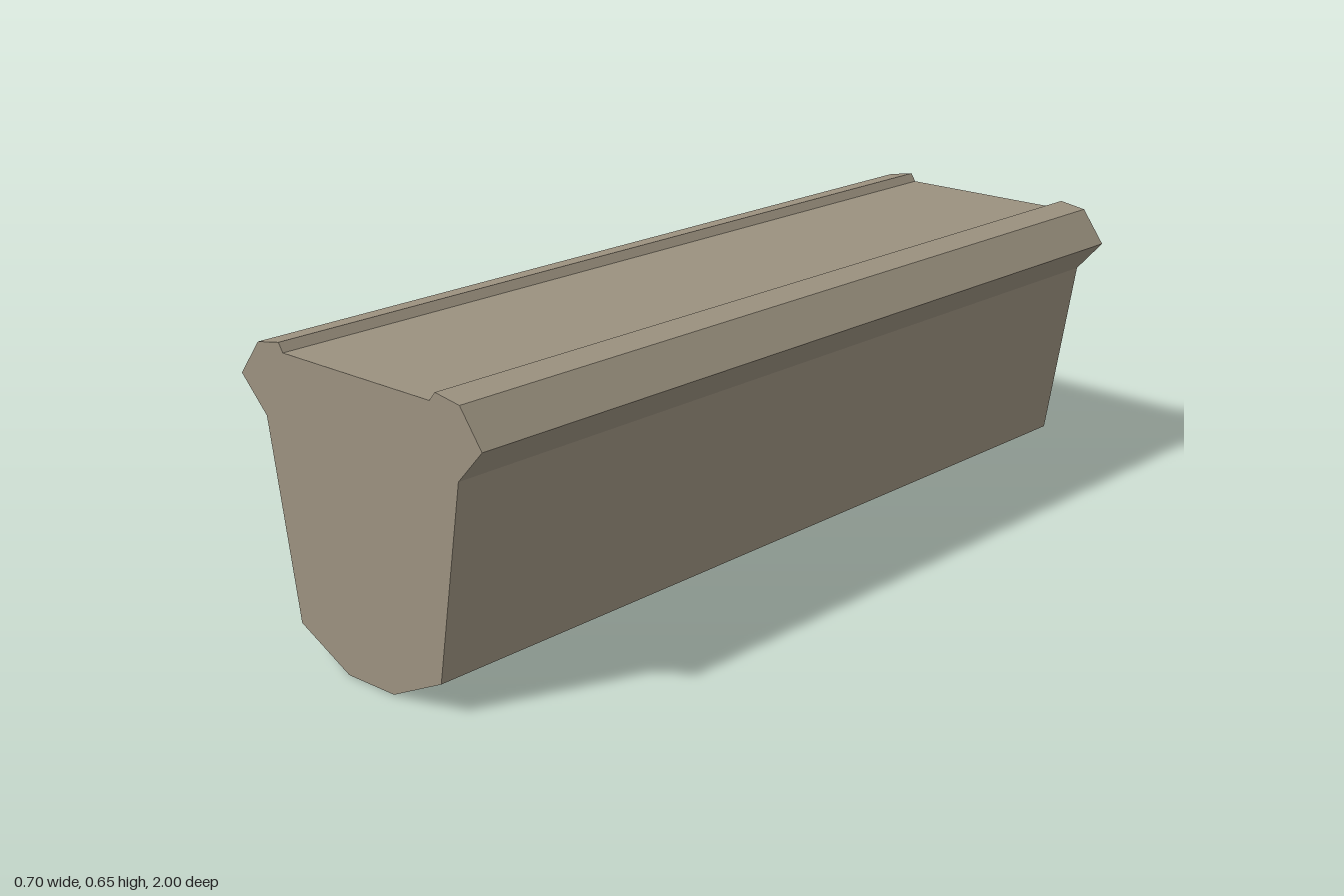
import * as THREE from 'three';

// Cross-section of the trough, counter-clockwise from the bottom
const PROFILE = [
  [-0.066, 0], [0.07, 0.002], [0.212, 0.07], [0.284, 0.495],
  [0.351, 0.567], [0.295, 0.643], [0.229, 0.653], [0.213, 0.634],
  [-0.215, 0.634], [-0.227, 0.653], [-0.293, 0.641], [-0.353, 0.565],
  [-0.28, 0.492], [-0.209, 0.069],
];
const LENGTH = 2;

export function createModel() {
  const model = new THREE.Group();
  model.name = 'trough';

  const stone = new THREE.MeshStandardMaterial({ color: 0x9b917f, flatShading: true });
  stone.name = 'stone';

  // Solid body with flared rims, extruded along z
  const shape = new THREE.Shape(PROFILE.map(([x, y]) => new THREE.Vector2(x, y)));
  const geometry = new THREE.ExtrudeGeometry(shape, { depth: LENGTH, bevelEnabled: false });
  geometry.translate(0, 0, -LENGTH / 2);

  const body = new THREE.Mesh(geometry, stone);
  body.name = 'troughBody';
  model.add(body);
  return model;
}
